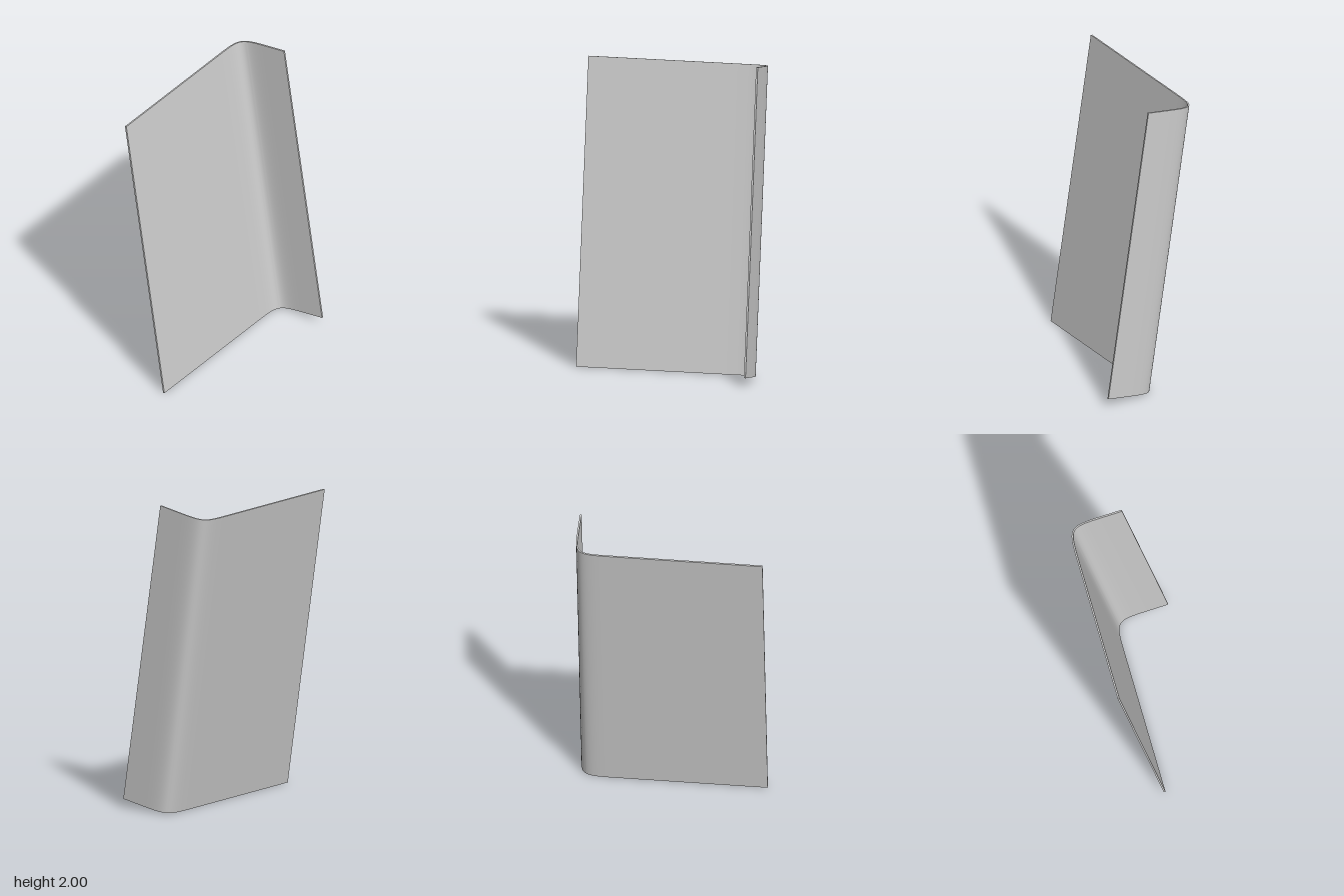
import * as THREE from 'three';
import { toCreasedNormals } from 'three/addons/utils/BufferGeometryUtils.js';

const FLANGE = 0.361;   // width of the short leg
const HALF_DEPTH = 0.6; // half the length of the long leg
const LENGTH = 1.966;   // length along the fold
const THICKNESS = 0.011;
const TILT = 0.1543;    // lean of the fold line, in radians

// L-shaped sheet section with a soft bend; section y points to the back
function sheetSection() {
  const x0 = -FLANGE / 2, x1 = FLANGE / 2;
  const back = HALF_DEPTH;
  const xi = x0 + THICKNESS, backI = back - THICKNESS;
  const bend = 0.25, bendI = 0.22;
  const s = new THREE.Shape();
  s.moveTo(x0, -HALF_DEPTH);
  s.lineTo(xi, -HALF_DEPTH);
  s.lineTo(xi, backI - bendI);
  s.bezierCurveTo(xi, backI, xi, backI, xi + bendI, backI);
  s.lineTo(x1, backI);
  s.lineTo(x1, back);
  s.lineTo(x0 + bend, back);
  s.bezierCurveTo(x0, back, x0, back, x0, back - bend);
  s.closePath();
  return s;
}

export function createModel() {
  const group = new THREE.Group();
  group.name = 'bentPanel';

  // Extrude the section upward, then lean it sideways
  const extruded = new THREE.ExtrudeGeometry(sheetSection(), {
    depth: LENGTH, bevelEnabled: false, curveSegments: 28,
  });
  extruded.translate(0, 0, -LENGTH / 2);
  extruded.rotateX(-Math.PI / 2);
  extruded.rotateZ(TILT);
  extruded.computeBoundingBox();
  extruded.translate(0, -extruded.boundingBox.min.y, 0);

  const sheet = new THREE.Mesh(
    toCreasedNormals(extruded, Math.PI / 6),
    new THREE.MeshStandardMaterial({ color: 0xcccccc }),
  );
  sheet.name = 'bentSheet';
  group.add(sheet);
  return group;
}
